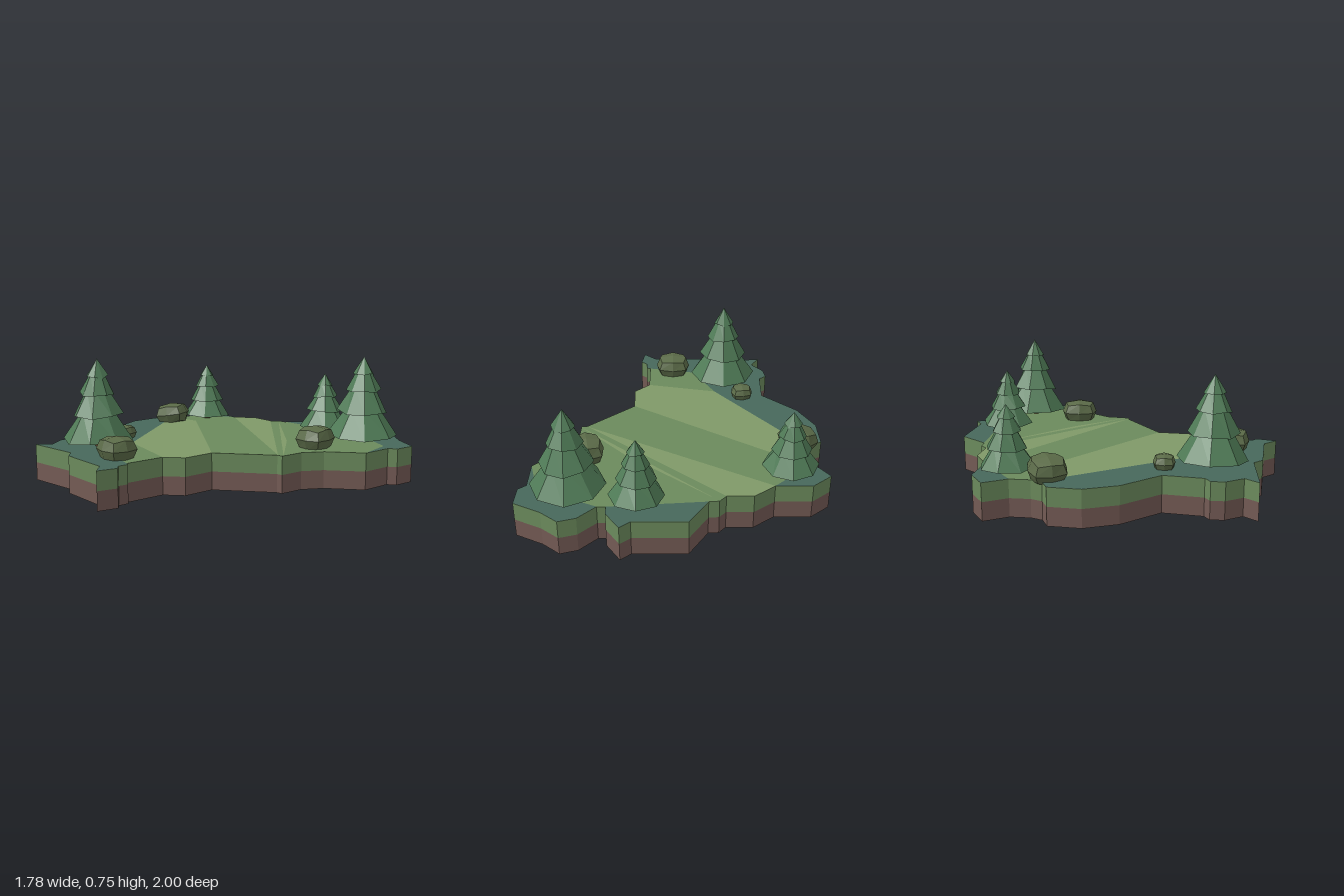
import * as THREE from 'three';

const GROUND = 0.22;
const mat = (color) => new THREE.MeshStandardMaterial({ color, flatShading: true });
const MATS = {
  grass: mat(0x6b8a5c), lightGrass: mat(0x7f9968), darkGrass: mat(0x47685b),
  earth: mat(0x735a54), needles: mat(0x4f7a56), rock: mat(0x5b6b48), trunk: mat(0x70502f),
};

function seeded(seed) {
  let s = seed;
  return () => (s = (s * 16807) % 2147483647) / 2147483647;
}

// Island outline as [x, z]
const OUTLINE = [
  [0.3, -1], [0.38, -0.88], [0.38, -0.82], [0.43, -0.82], [0.53, -0.92], [0.63, -0.95], [0.73, -0.87], [0.89, -0.79],
  [0.885, -0.66], [0.84, -0.625], [0.84, -0.43], [0.66, -0.27], [0.595, -0.15], [0.59, 0], [0.555, 0.005],
  [0.27, 0.255], [0.275, 0.45], [0.18, 0.54], [0.18, 0.78], [0.205, 0.79], [0.205, 0.85], [0.245, 0.88],
  [0.225, 1], [0.145, 0.93], [-0.19, 0.93], [-0.25, 0.88], [-0.595, 0.925], [-0.54, 0.84], [-0.615, 0.745],
  [-0.625, 0.665], [-0.58, 0.63], [-0.575, 0.395], [-0.785, 0.2], [-0.88, 0.015], [-0.885, -0.175],
  [-0.81, -0.22], [-0.79, -0.29], [-0.8, -0.41], [-0.89, -0.535], [-0.775, -0.63], [-0.56, -0.63],
  [-0.435, -0.725], [-0.28, -0.725], [-0.24, -0.77], [-0.18, -0.775], [-0.07, -0.95], [0.24, -0.95],
];
const part = (from, to) => OUTLINE.slice(from, to + 1);
const toShape = (pts) => new THREE.Shape(pts.map(([x, z]) => new THREE.Vector2(x, -z)));

function add(parent, name, geometry, material) {
  const mesh = new THREE.Mesh(geometry, material);
  mesh.name = name;
  parent.add(mesh);
  return mesh;
}

function slab(parent, name, y, height, material) {
  const geo = new THREE.ExtrudeGeometry(toShape(OUTLINE), { depth: height, bevelEnabled: false });
  add(parent, name, geo.rotateX(-Math.PI / 2), material).position.y = y;
}

// Flat coloured area lying on the grass
function patch(parent, name, pts, material) {
  const geo = new THREE.ShapeGeometry(toShape(pts)).rotateX(-Math.PI / 2);
  add(parent, name, geo, material).position.y = GROUND + 0.001;
}

// Eight-sided fir: trunk plus one lathe of four overlapping skirts
function tree(parent, x, z, height, radius, seed) {
  const group = new THREE.Group();
  group.name = 'tree';
  group.position.set(x, GROUND, z);
  const trunkHeight = height * 0.25;
  const trunk = add(group, 'trunk', new THREE.CylinderGeometry(0.02, 0.022, trunkHeight, 8), MATS.trunk);
  trunk.position.y = trunkHeight / 2;

  const skirts = [[1, 0.08], [0.72, 0.365], [0.5, 0.61], [0.31, 0.8]];
  const profile = [new THREE.Vector2(0, height * 0.11)];
  skirts.forEach(([r, y], i) => {
    profile.push(new THREE.Vector2(r * radius, y * height));
    const next = skirts[i + 1];
    profile.push(next
      ? new THREE.Vector2(next[0] * radius * 0.68, (next[1] + 0.025) * height)
      : new THREE.Vector2(0, height));
  });
  const geo = new THREE.LatheGeometry(profile, 8);

  // Uneven skirt rims, the same at the lathe's seam
  const rand = seeded(seed);
  const pos = geo.attributes.position;
  const rows = profile.length;
  const offsets = Array.from({ length: 8 * rows }, () => rand() - 0.5);
  for (let i = 0; i < pos.count; i++) {
    const row = i % rows;
    if (row % 2 === 0) continue;
    const o = offsets[(Math.floor(i / rows) % 8) * rows + row];
    const s = 1 + o * 0.08;
    pos.setXYZ(i, pos.getX(i) * s, pos.getY(i) + o * height * 0.045, pos.getZ(i) * s);
  }
  add(group, 'branches', geo, MATS.needles);
  parent.add(group);
}

// Boulder: a 2x2x2 box with its edges and corners drawn in
function rock(parent, x, z, rx, ry, rz, turn, tilt) {
  const geo = new THREE.BoxGeometry(2, 2, 2, 2, 2, 2);
  const pos = geo.attributes.position;
  const v = new THREE.Vector3();
  for (let i = 0; i < pos.count; i++) {
    v.fromBufferAttribute(pos, i);
    const scale = [1, 1, 0.8, 0.65][Math.round(v.lengthSq())];
    pos.setXYZ(i, v.x * scale, v.y * scale, v.z * scale);
  }
  geo.scale(rx, ry, rz);
  const mesh = add(parent, 'rock', geo, MATS.rock);
  mesh.position.set(x, GROUND + ry * 0.68, z);
  mesh.rotation.set(0, turn, tilt);
}

export function createModel() {
  const model = new THREE.Group();
  model.name = 'forestIsland';

  // Ground layers
  slab(model, 'earthLayer', 0, GROUND / 2, MATS.earth);
  slab(model, 'grassLayer', GROUND / 2, GROUND / 2, MATS.grass);

  // Dark undergrowth along the rim
  patch(model, 'backUndergrowth', [...part(44, 46), ...part(0, 2)], MATS.darkGrass);
  patch(model, 'backLeftUndergrowth', [...part(3, 10), [0.78, -0.66]], MATS.darkGrass);
  patch(model, 'backRightUndergrowth', part(37, 40), MATS.darkGrass);
  patch(model, 'frontUndergrowth', [...part(18, 35), [-0.7, -0.11], [-0.26, 0.45], [-0.12, 0.72]], MATS.darkGrass);

  // Light stripes across the meadow
  patch(model, 'frontMeadowStripe',
    [...part(35, 36), [-0.61, -0.32], ...part(15, 17), [-0.26, 0.45], [-0.7, -0.11]], MATS.lightGrass);
  patch(model, 'backMeadowStripe', [...part(40, 42), [-0.25, -0.7], [0.555, 0]], MATS.lightGrass);
  patch(model, 'thinMeadowStripe', [[-0.22, -0.75], [0.3, -0.32], [0.59, -0.01], [0.25, -0.32]], MATS.lightGrass);

  // x, z, height, radius, seed
  [
    [0.6, -0.67, 0.525, 0.21, 11],
    [-0.32, 0.65, 0.525, 0.21, 23],
    [0.215, -0.745, 0.38, 0.16, 37],
    [-0.66, -0.46, 0.38, 0.163, 53],
  ].forEach((t) => tree(model, ...t));

  // x, z, radii, turn, tilt
  [
    [0.02, 0.74, 0.112, 0.074, 0.1, 0, 0],
    [0.525, -0.335, 0.1, 0.076, 0.115, 0.2, 0],
    [-0.735, -0.21, 0.11, 0.074, 0.11, 0.55, 0.15],
    [-0.437, 0.387, 0.069, 0.048, 0.064, 0.15, 0],
  ].forEach((r) => rock(model, ...r));

  return model;
}
